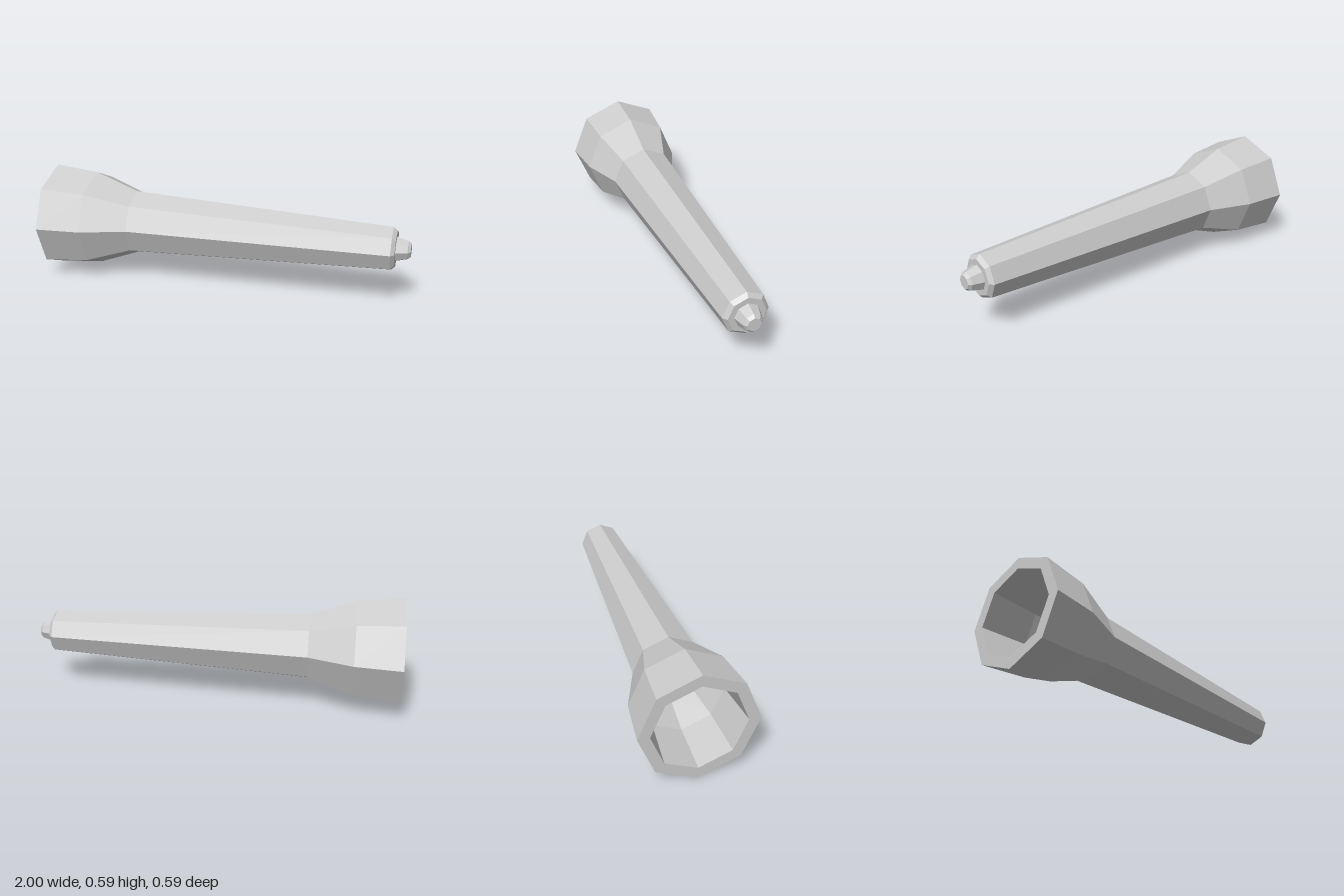
import * as THREE from 'three';

const CENTRE_Y = 0.295;

// Eight-sided turned part along x, from [x, radius] pairs
function turned(name, profile, material) {
  const points = profile.map(([x, r]) => new THREE.Vector2(r, x));
  const geometry = new THREE.LatheGeometry(points, 8);
  geometry.rotateZ(-Math.PI / 2);
  const mesh = new THREE.Mesh(geometry, material);
  mesh.name = name;
  mesh.position.y = CENTRE_Y;
  return mesh;
}

export function createModel() {
  const group = new THREE.Group();
  group.name = 'flaredHandle';
  const grey = new THREE.MeshStandardMaterial({ color: 0xcccccc, flatShading: true });
  grey.name = 'grey';

  // Hollow socket inside the flared end
  group.add(turned('socket', [
    [-0.52, 0], [-0.52, 0.14], [-0.75, 0.21], [-1, 0.235],
  ], grey));

  // Rim, flare, long taper and chamfered end
  group.add(turned('body', [
    [-1, 0.235], [-1, 0.295], [-0.755, 0.27], [-0.515, 0.18],
    [0.905, 0.118], [0.925, 0.098], [0.925, 0],
  ], grey));

  // Small chamfered knob at the narrow end
  group.add(turned('tip', [
    [0.92, 0.068], [0.985, 0.05], [1, 0.036], [1, 0],
  ], grey));

  return group;
}
